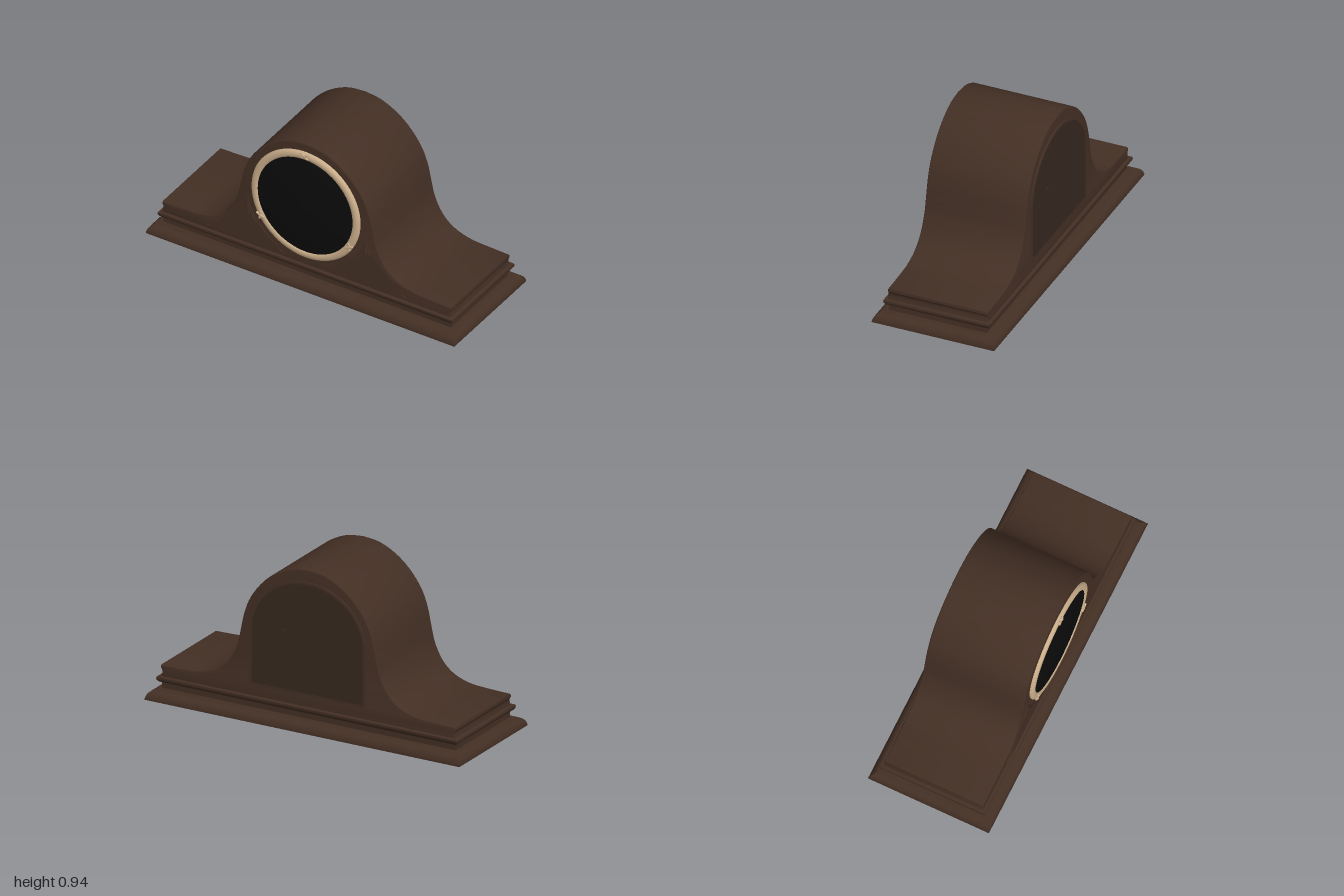
import * as THREE from 'three';
import { toCreasedNormals } from 'three/addons/utils/BufferGeometryUtils.js';

const CLOCK_Y = 0.535;

export function createModel() {
  const model = new THREE.Group();
  const wood = new THREE.MeshStandardMaterial({ color: 0x432f24 });
  wood.name = 'dark wood';
  const doorWood = new THREE.MeshStandardMaterial({ color: 0x37291f });
  doorWood.name = 'door wood';
  const ivory = new THREE.MeshStandardMaterial({ color: 0xcdb08c });
  ivory.name = 'ivory bezel';
  const black = new THREE.MeshStandardMaterial({ color: 0x0b0b0b });
  black.name = 'black dial';

  function add(name, geometry, material, parent = model) {
    const mesh = new THREE.Mesh(geometry, material);
    mesh.name = name;
    parent.add(mesh);
    return mesh;
  }

  // rectangular moulding: rows of [y, half width, half depth], capped at both ends
  function moulding(rows) {
    const pos = [], idx = [];
    const corners = [[-1, 1], [1, 1], [1, -1], [-1, -1]];
    for (let s = 0; s < 4; s++) {
      const a = corners[s], b = corners[(s + 1) % 4];
      const start = pos.length / 3;
      for (const [y, w, d] of rows) pos.push(a[0] * w, y, a[1] * d, b[0] * w, y, b[1] * d);
      for (let i = 0; i < rows.length - 1; i++) {
        const k = start + i * 2;
        idx.push(k, k + 1, k + 3, k, k + 3, k + 2);
      }
    }
    [rows[0], rows[rows.length - 1]].forEach(([y, w, d], top) => {
      const k = pos.length / 3;
      for (const c of corners) pos.push(c[0] * w, y, c[1] * d);
      if (top) idx.push(k, k + 1, k + 2, k, k + 2, k + 3);
      else idx.push(k, k + 2, k + 1, k, k + 3, k + 2);
    });
    const g = new THREE.BufferGeometry();
    g.setAttribute('position', new THREE.Float32BufferAttribute(pos, 3));
    g.setIndex(idx);
    return toCreasedNormals(g, 0.6);
  }

  // stepped base
  const foot = [[0, 1, 0.367], [0.008, 1, 0.367]];
  for (let i = 1; i <= 8; i++) {
    const a = (i / 8) * Math.PI / 2;
    foot.push([0.008 + 0.052 * Math.sin(a), 0.936 + 0.062 * Math.cos(a), 0.295 + 0.07 * Math.cos(a)]);
  }
  add('baseFoot', moulding(foot), wood);
  add('baseWaist', moulding([[0.055, 0.932, 0.293], [0.1, 0.932, 0.293]]), wood);
  add('baseMoulding', moulding([
    [0.095, 0.935, 0.3], [0.1, 0.945, 0.308], [0.11, 0.953, 0.316],
    [0.12, 0.955, 0.319], [0.129, 0.953, 0.318], [0.132, 0.942, 0.305],
  ]), wood);

  // hump-backed case
  const half = new THREE.CatmullRomCurve3([
    [0.936, 0.196], [0.8, 0.2], [0.68, 0.209], [0.58, 0.243], [0.51, 0.302], [0.457, 0.4],
    [0.432, 0.5], [0.41, 0.6], [0.37, 0.702], [0.29, 0.808], [0.2, 0.88], [0.1, 0.925], [0, 0.938],
  ].map(([x, y]) => new THREE.Vector3(x, y, 0)), false, 'centripetal').getPoints(60);
  const outline = [[0.938, 0.125], [0.93, 0.15], [0.93, 0.165], [0.938, 0.18]]
    .map(([x, y]) => new THREE.Vector2(x, y))
    .concat(half.map(p => new THREE.Vector2(p.x, p.y)));
  const mirrored = outline.slice(0, -1).reverse().map(p => new THREE.Vector2(-p.x, p.y));
  const body = new THREE.ExtrudeGeometry(new THREE.Shape(outline.concat(mirrored)), {
    depth: 0.584, bevelEnabled: true, bevelThickness: 0.008, bevelSize: 0.008, bevelOffset: -0.008, bevelSegments: 3,
  });
  add('case', toCreasedNormals(body.translate(0, 0, -0.292), 0.5), wood);

  // dial and bezel
  const ring = (pts, segments = 72) => new THREE.LatheGeometry(
    pts.map(([r, z]) => new THREE.Vector2(r, z)), segments).rotateX(Math.PI / 2).translate(0, CLOCK_Y, 0);
  const dome = [];
  for (let i = 0; i <= 12; i++) {
    const r = 0.308 * (1 - i / 12);
    dome.push([r, 0.341 - 0.026 * (r / 0.308) ** 2]);
  }
  add('dial', ring(dome), black);
  add('bezel', ring([
    [0.35, 0.298], [0.352, 0.307], [0.348, 0.314], [0.339, 0.319], [0.328, 0.321],
    [0.317, 0.32], [0.308, 0.316], [0.304, 0.309], [0.303, 0.298],
  ]), ivory);

  // three ribbon knots on the bezel
  for (let k = 0; k < 3; k++) {
    const a = Math.PI / 2 + k * Math.PI * 2 / 3;
    const knot = new THREE.Group();
    knot.name = 'bezelKnot';
    knot.position.set(0.333 * Math.cos(a), CLOCK_Y + 0.333 * Math.sin(a), 0.317);
    knot.rotation.z = a;
    for (const s of [-1, 1]) {
      const band = add('knotBand', new THREE.CapsuleGeometry(0.007, 0.042, 4, 8), ivory, knot);
      band.rotation.z = s * 0.65;
      band.position.z = 0.004;
    }
    add('knotCentre', new THREE.SphereGeometry(0.012, 12, 8), ivory, knot);
    model.add(knot);
  }

  // carved corner panels
  function spandrel(scale) {
    const p = (x, y) => [0.385 + (x - 0.385) * scale, 0.24 + (y - 0.24) * scale];
    const s = new THREE.Shape();
    s.moveTo(...p(0.645, 0.155));
    s.quadraticCurveTo(...p(0.42, 0.22), ...p(0.38, 0.48));
    s.quadraticCurveTo(...p(0.375, 0.303), ...p(0.15, 0.155));
    s.closePath();
    return s;
  }
  for (const side of [-1, 1]) {
    const panel = new THREE.Group();
    panel.name = side > 0 ? 'leftCarving' : 'rightCarving';
    for (const [outer, inner] of [[1, 0.92], [0.84, 0.77]]) {
      const s = spandrel(outer);
      s.holes.push(spandrel(inner));
      const g = new THREE.ExtrudeGeometry(s, { depth: 0.008, bevelEnabled: false, curveSegments: 16 });
      const pos = g.attributes.position;
      if (side < 0) {
        // mirror and swap winding
        for (let i = 0; i < pos.count; i++) pos.setX(i, -pos.getX(i));
        for (let i = 0; i < pos.count; i += 3) {
          const b = new THREE.Vector3().fromBufferAttribute(pos, i + 1);
          const c = new THREE.Vector3().fromBufferAttribute(pos, i + 2);
          pos.setXYZ(i + 1, c.x, c.y, c.z);
          pos.setXYZ(i + 2, b.x, b.y, b.z);
        }
        g.computeVertexNormals();
      }
      add('carvedBorder', g.translate(0, 0, 0.298), wood, panel);
    }
    const leaf = (name, x, y, angle, length, width) => {
      const m = add(name, new THREE.SphereGeometry(1, 12, 8), wood, panel);
      m.scale.set(length, width, 0.007);
      m.rotation.z = side > 0 ? angle : Math.PI - angle;
      m.position.set(side * x, y, 0.3);
    };
    for (let i = 0; i < 6; i++) {
      const a = Math.PI / 2 + i * Math.PI / 3;
      leaf('petal', 0.378 + 0.035 * Math.cos(a), 0.25 + 0.035 * Math.sin(a), a, 0.027, 0.013);
    }
    leaf('flowerCentre', 0.378, 0.25, 0, 0.013, 0.013);
    leaf('upperLeaf', 0.38, 0.345, Math.PI / 2, 0.04, 0.011);
    leaf('outerLeaf', 0.475, 0.193, -0.35, 0.045, 0.012);
    leaf('innerLeaf', 0.29, 0.193, 0.35, 0.045, 0.012);
    model.add(panel);
  }

  // arched back door with a raised rim
  function arch(w, bottom, spring, top) {
    const s = new THREE.Shape();
    s.moveTo(-w, bottom);
    s.lineTo(w, bottom);
    s.lineTo(w, spring);
    s.absellipse(0, spring, w, top - spring, 0, Math.PI, false);
    s.closePath();
    return s;
  }
  const plate = (shape, depth, z) => toCreasedNormals(new THREE.ExtrudeGeometry(shape,
    { depth, bevelEnabled: false, curveSegments: 32 }).translate(0, 0, z), 0.5);
  const rim = arch(0.368, 0.197, 0.53, 0.866);
  rim.holes.push(arch(0.352, 0.212, 0.53, 0.85));
  add('doorRim', plate(rim, 0.012, -0.309), wood);
  add('backDoor', plate(arch(0.354, 0.21, 0.53, 0.852), 0.012, -0.3075), doorWood);
  const knob = add('doorKnob', new THREE.CylinderGeometry(0.02, 0.02, 0.014, 20), doorWood);
  knob.rotation.x = Math.PI / 2;
  knob.position.set(0.155, 0.545, -0.307);

  return model;
}
